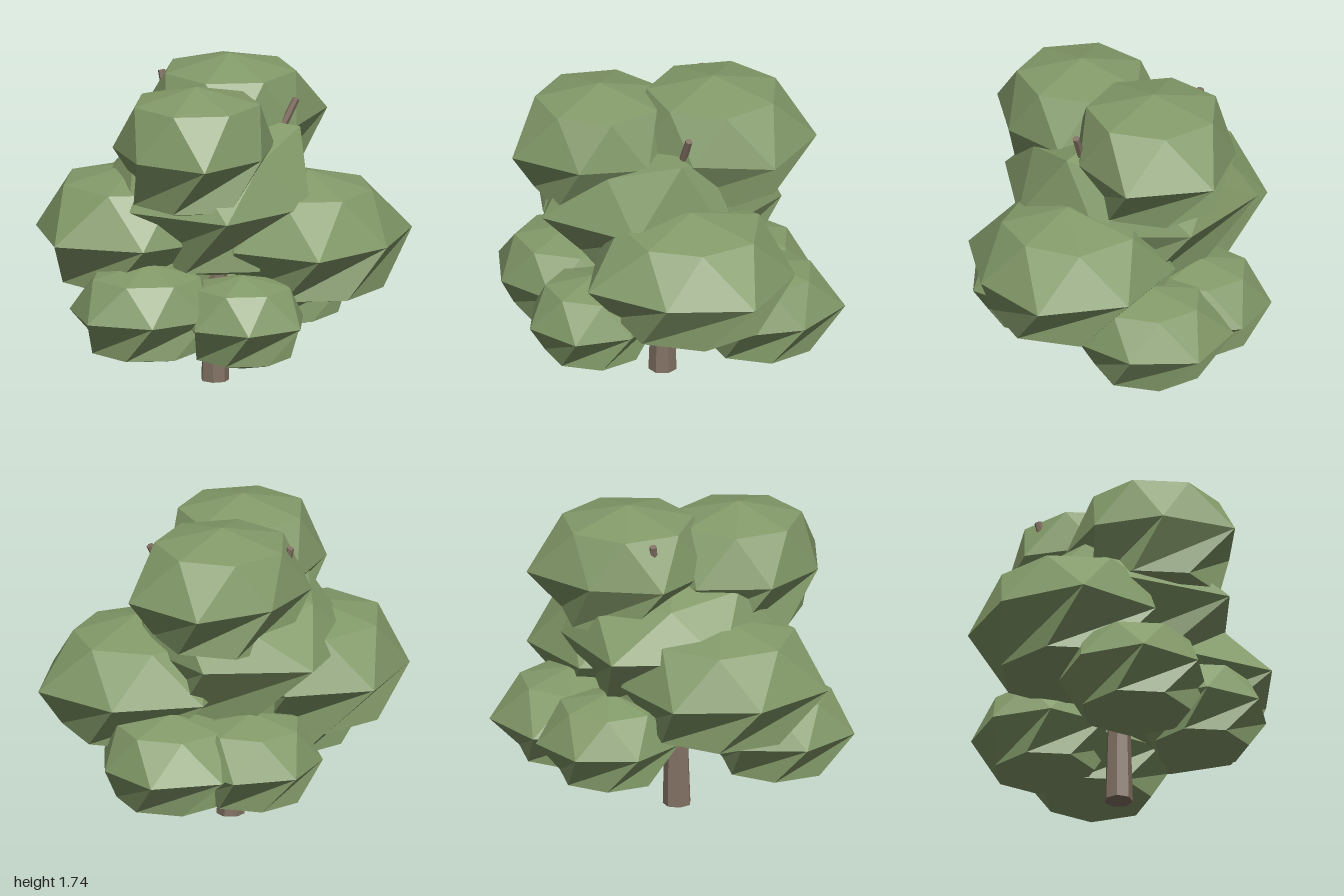
import * as THREE from 'three';

const N = 7; // sides of every foliage ring

// Faceted clump: two poles and three rings, the outer rings turned by half a step.
// radii: widest ring; shoulders: [radius, height] of each upper ring corner
function clumpGeometry(r, up, down, radii = [], shoulders = []) {
  const ring = (turn, corner) => Array.from({ length: N }, (_, i) => {
    const a = ((i + turn) / N) * Math.PI * 2;
    const [radius, y] = corner(i);
    return [Math.cos(a) * radius, y, Math.sin(a) * radius];
  });
  const upper = ring(0.5, (i) => shoulders[i] ?? [r * 0.72, up * 0.75]);
  const middle = ring(0, (i) => [radii[i] ?? r, 0]);
  const lower = ring(0.5, () => [r * 0.73, -down * 0.74]);
  const top = [0, up, 0], bottom = [0, -down, 0];
  const pos = [];
  const tri = (...corners) => corners.forEach((c) => pos.push(...c));
  for (let i = 0; i < N; i++) {
    const j = (i + 1) % N;
    tri(top, upper[j], upper[i]);
    for (const [a, b] of [[upper, middle], [middle, lower]]) {
      tri(a[i], b[j], b[i]);
      tri(a[i], a[j], b[j]);
    }
    tri(bottom, lower[i], lower[j]);
  }
  const g = new THREE.BufferGeometry();
  g.setAttribute('position', new THREE.Float32BufferAttribute(pos, 3));
  g.computeVertexNormals();
  return g;
}

export function createModel() {
  const tree = new THREE.Group();
  tree.name = 'tree';
  const leaf = new THREE.MeshStandardMaterial({ color: 0x839a69, flatShading: true });
  leaf.name = 'leafGreen';
  const bark = new THREE.MeshStandardMaterial({ color: 0x837264, flatShading: true });
  bark.name = 'barkBrown';

  const add = (name, geometry, material) => {
    const mesh = new THREE.Mesh(geometry, material);
    mesh.name = name;
    tree.add(mesh);
    return mesh;
  };

  // Foliage: name, centre, radius, height above and below the widest ring, ring details
  const clumps = [
    ['topFrontClump', [-0.25, 1.35, 0.28], 0.48, 0.35, 0.37, [0.44, 0.42, 0.51, 0.44, 0.45]],
    ['topBackClump', [0.1, 1.39, -0.22], 0.5, 0.345, 0.37, [0.55, 0.43, 0.46, 0.46, 0.48, 0.44, 0.55]],
    ['centreClump', [-0.05, 1.03, -0.01], 0.62, 0.44, 0.46,
      [0.52, 0.61, 0.72, 0.64, 0.66, 0.72, 0.62],
      [[0.46, 0.38], [0.48, 0.27], [0.45, 0.3], [0.45, 0.3], [0.49, 0.25], [0.52, 0.2], [0.45, 0.28]]],
    ['leftClump', [0.42, 0.8, 0.17], 0.55, 0.36, 0.37,
      [0.58, 0.5, 0.6, 0.56, 0.54, 0.58, 0.56],
      [[0.34, 0.26], [0.35, 0.26], [0.38, 0.27], [0.4, 0.27], [0.4, 0.26], [0.4, 0.27], [0.38, 0.26]]],
    ['rightClump', [-0.47, 0.84, -0.11], 0.55, 0.36, 0.36, [0.53, 0.53, 0.53, 0.59, 0.53, 0.56]],
    ['lowRightClump', [-0.53, 0.48, 0.27], 0.41, 0.265, 0.28, [0.4, 0.4, 0.4, 0.43]],
    ['lowFrontClump', [-0.05, 0.44, 0.47], 0.355, 0.25, 0.265, [0.34, 0.37, 0.37]],
    ['lowLeftClump', [0.43, 0.48, -0.29], 0.4, 0.27, 0.285, [0.39, 0.4, 0.4, 0.4, 0.4, 0.45, 0.45]],
    ['lowBackClump', [0.03, 0.48, -0.45], 0.375, 0.265, 0.275, [0.38, 0.38, 0.38, 0.38, 0.38, 0.39, 0.4]],
  ];
  for (const [name, centre, ...shape] of clumps) {
    add(name, clumpGeometry(...shape), leaf).position.set(...centre);
  }

  // Tapered round piece between two points
  const limb = (name, from, to, r0, r1, sides) => {
    const a = new THREE.Vector3(...from), b = new THREE.Vector3(...to);
    const dir = b.clone().sub(a);
    const mesh = add(name,
      new THREE.CylinderGeometry(r1, r0, dir.length(), sides, 1, false, Math.PI), bark);
    mesh.position.copy(a).add(b).multiplyScalar(0.5);
    mesh.quaternion.setFromUnitVectors(new THREE.Vector3(0, 1, 0), dir.normalize());
  };
  limb('trunk', [-0.055, 0, 0.006], [-0.045, 1.05, 0.005], 0.077, 0.045, 7);

  // Branches: a slanted start from the trunk, then a steeper end that breaks through the leaves
  const branches = [
    ['frontBranch', [0.14, 1.1, 0.1], [0.36, 1.55, 0.138]],
    ['backBranch', [-0.17, 1.15, -0.28], [-0.225, 1.625, -0.39]],
  ];
  for (const [name, knee, tip] of branches) {
    limb(name + 'Start', [-0.047, 0.85, 0.005], knee, 0.035, 0.028, 6);
    limb(name + 'End', knee, tip, 0.028, 0.02, 6);
  }

  return tree;
}
